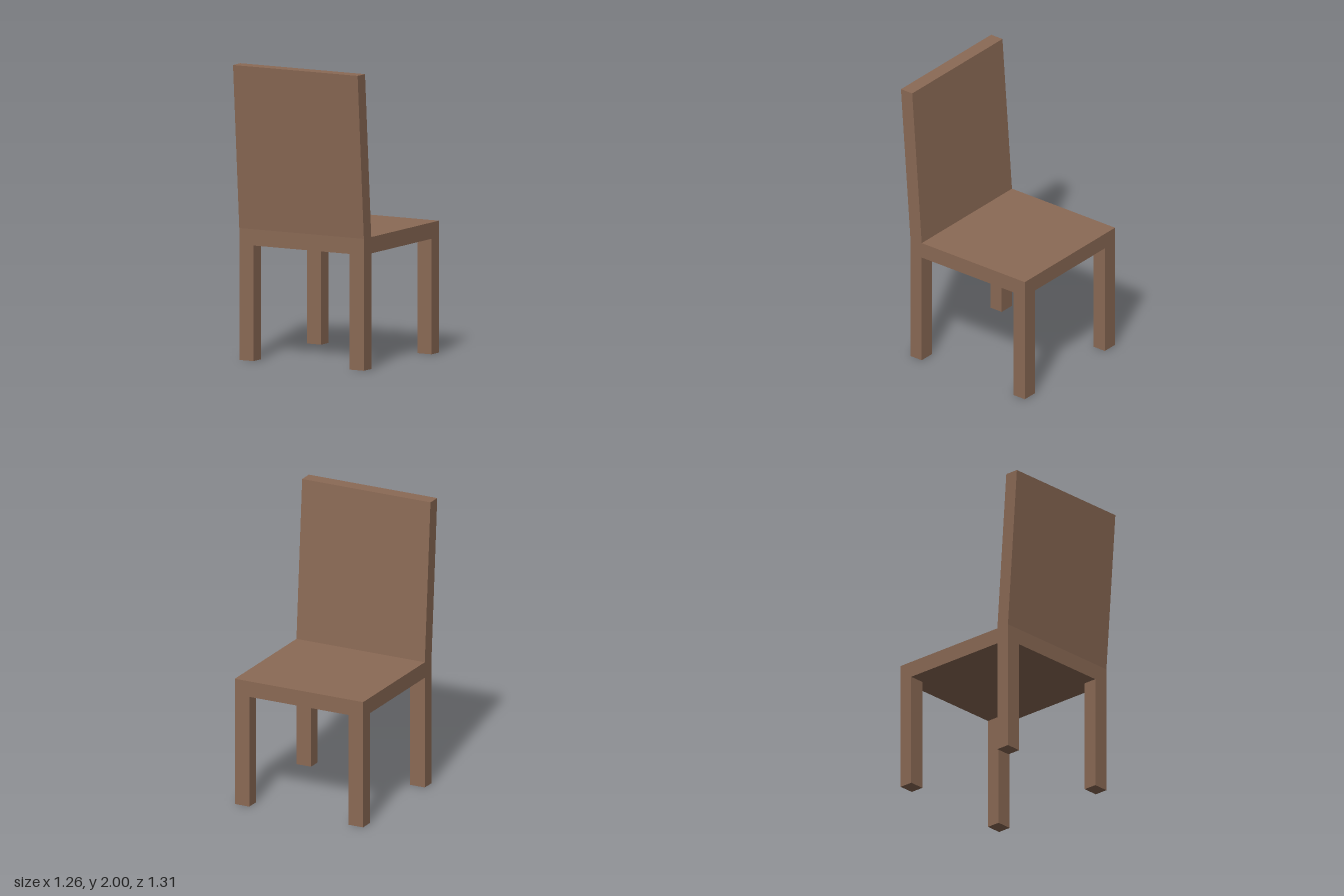
import * as THREE from 'three';

const WIDTH = 0.97;
const BACK = -0.528, FRONT = 0.446; // seat extent along the chair's depth
const LEG_H = 0.78, SEAT_TOP = 0.89, TOP = 2;
const LEG_W = 0.11, THICK = 0.096, LEAN = 0.081;

export function createModel() {
  const group = new THREE.Group();
  group.name = 'chair';
  const wood = new THREE.MeshStandardMaterial({ color: 0x8b6a55, flatShading: true });

  const add = (name, geometry, x, y, z) => {
    const mesh = new THREE.Mesh(geometry, wood);
    mesh.name = name;
    mesh.position.set(x, y, z);
    group.add(mesh);
  };

  // Four legs, flush with the seat corners
  for (const [side, sx] of [['Left', 1], ['Right', -1]]) {
    for (const [end, z] of [['backrest', FRONT - THICK / 2], ['seat', BACK + THICK / 2]]) {
      add(`${end}Leg${side}`, new THREE.BoxGeometry(LEG_W, LEG_H, THICK),
        sx * (WIDTH - LEG_W) / 2, LEG_H / 2, z);
    }
  }

  // Seat slab
  add('seat', new THREE.BoxGeometry(WIDTH, SEAT_TOP - LEG_H, FRONT - BACK),
    0, (SEAT_TOP + LEG_H) / 2, (FRONT + BACK) / 2);

  // Backrest: a box sheared so it leans outward with level ends
  const height = TOP - SEAT_TOP;
  const rest = new THREE.BoxGeometry(WIDTH, height, THICK).translate(0, height / 2, 0);
  rest.applyMatrix4(new THREE.Matrix4().makeShear(0, 0, 0, LEAN / height, 0, 0));
  add('backrest', rest, 0, SEAT_TOP, FRONT - THICK / 2);

  // The whole chair stands turned about the vertical
  group.rotation.y = -0.325;
  const root = new THREE.Group();
  root.add(group);
  return root;
}
